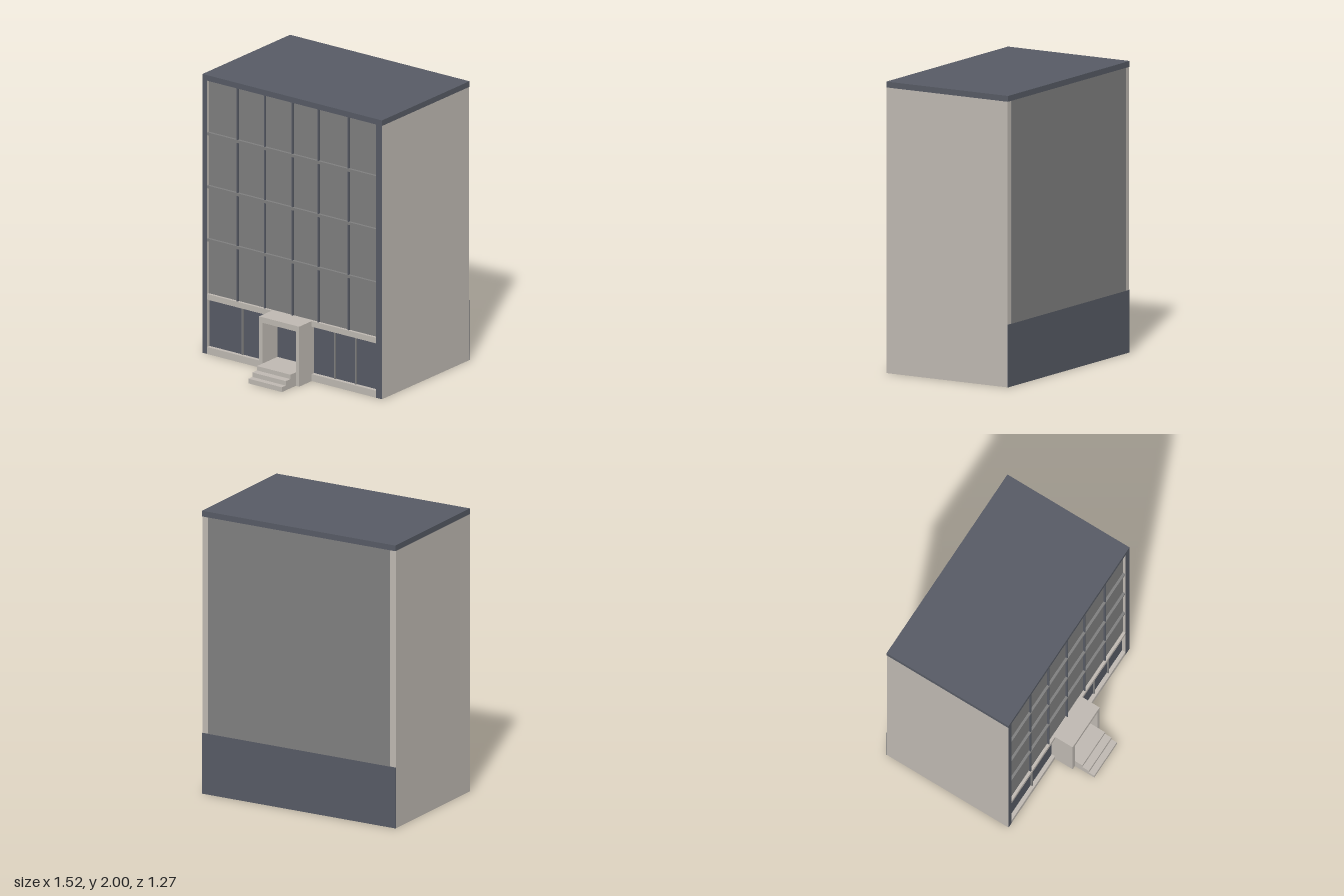
import * as THREE from 'three';

export function createModel() {
  const mat = (name, color) => Object.assign(new THREE.MeshStandardMaterial({ color }), { name });
  const dark = mat('slate', 0x575b65);
  const stone = mat('pale stone', 0xbfb9b2);
  const grey = mat('grey panel', 0x7f7f7f);

  const model = new THREE.Group();
  model.name = 'officeBuilding';

  // Box given by its extents on each axis
  const box = (name, material, [x0, x1], [y0, y1], [z0, z1], parent = model) => {
    const mesh = new THREE.Mesh(new THREE.BoxGeometry(x1 - x0, y1 - y0, z1 - z0), material);
    mesh.position.set((x0 + x1) / 2, (y0 + y1) / 2, (z0 + z1) / 2);
    mesh.name = name;
    parent.add(mesh);
    return mesh;
  };

  const W = 0.76, front = 0.34, back = -0.635, inL = -0.722, inR = 0.71;
  const roofY = 1.96, floorY = 0.43;

  // Main volume and roof
  box('body', stone, [-W, W], [0, roofY], [back + 0.004, 0.305]);
  box('roof', dark, [-W, W], [roofY, 2], [back, front]);

  // Side walls run forward past the facade; only their front edges are dark
  const finMats = [stone, stone, stone, stone, dark, stone];
  box('leftWallEdge', finMats, [inR, W], [0, roofY], [0.305, front]);
  box('rightWallEdge', finMats, [-W, inL], [0, roofY], [0.305, front]);

  // Back: slate base and grey panel between stone strips
  box('backBase', dark, [-W, W], [0, floorY], [back, back + 0.004]);
  box('backPanel', grey, [-0.715, 0.715], [floorY, roofY], [back, back + 0.004]);

  // Upper curtain wall
  const facade = new THREE.Group();
  facade.name = 'curtainWall';
  model.add(facade);
  box('upperPanels', grey, [inL, inR], [floorY, roofY], [0.305, 0.32], facade);
  for (const x of [-0.47, -0.24, -0.006, 0.214, 0.469])
    box('mullion', dark, [x - 0.004, x + 0.004], [floorY, roofY], [0.32, 0.335], facade);
  for (const y of [0.817, 1.198, 1.579])
    box('transom', grey, [inL, inR], [y - 0.01, y + 0.01], [0.32, 0.338], facade);

  // Ground floor windows with sill and band
  const ground = new THREE.Group();
  ground.name = 'groundFloor';
  model.add(ground);
  box('shopWindows', dark, [inL, inR], [0.05, 0.39], [0.305, 0.312], ground);
  box('sill', stone, [inL, inR], [0, 0.05], [0.305, front], ground);
  box('band', stone, [inL, inR], [0.39, floorY], [0.305, front], ground);
  for (const x of [-0.436, 0.347, 0.523])
    box('windowBar', grey, [x - 0.004, x + 0.004], [0.05, 0.39], [0.312, 0.325], ground);

  // Entrance portal
  const entrance = new THREE.Group();
  entrance.name = 'entrance';
  model.add(entrance);
  box('rightPillar', stone, [-0.175, -0.147], [0, 0.39], [0.305, 0.48], entrance);
  box('leftPillar', stone, [0.137, 0.165], [0, 0.39], [0.305, 0.48], entrance);
  box('lintel', stone, [-0.175, 0.165], [0.39, floorY], [front, 0.48], entrance);

  // Steps
  [[0.097, 0.54], [0.066, 0.592], [0.034, 0.635]].forEach(([h, z], i, all) => {
    box('step', stone, [-0.147, 0.137], [0, h], [i ? all[i - 1][1] : 0.312, z], entrance);
  });

  return model;
}
